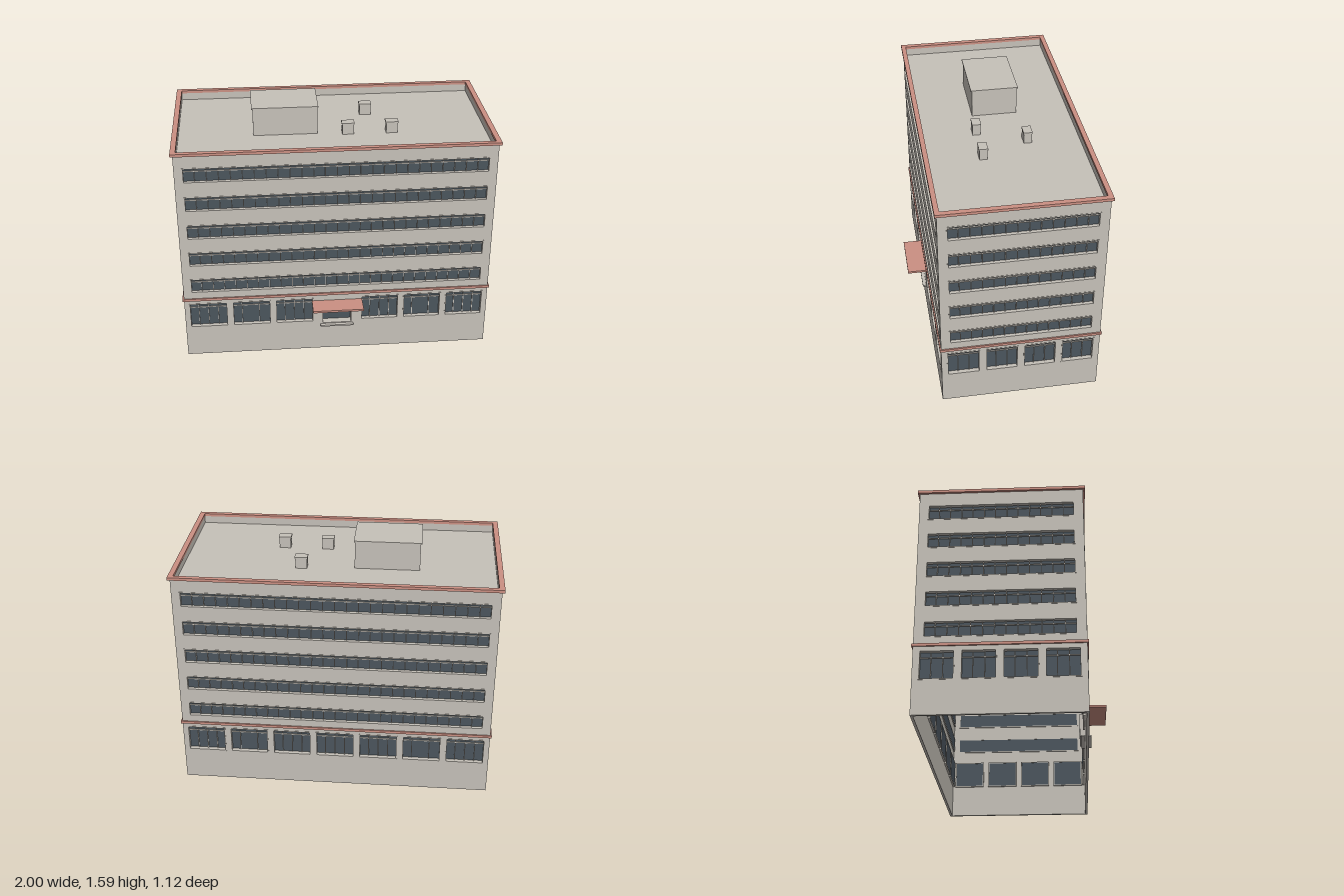
import * as THREE from 'three';
import { mergeGeometries } from 'three/addons/utils/BufferGeometryUtils.js';

const material = (name, color) => {
  const m = new THREE.MeshStandardMaterial({ color });
  m.name = name;
  return m;
};

const W = 0.985, D = 0.495, ZC = -0.055; // half width, half depth, centre of the block
const WALL_TOP = 1.452, T = 0.016, ROOF = 1.4;

// rectangle as a shape or hole
function rect(x0, y0, x1, y1, Type = THREE.Shape) {
  const s = new Type();
  s.moveTo(x0, y0);
  s.lineTo(x1, y0);
  s.lineTo(x1, y1);
  s.lineTo(x0, y1);
  s.closePath();
  return s;
}

// box given by its two extreme corners
function boxGeo(x0, y0, z0, x1, y1, z1) {
  return new THREE.BoxGeometry(x1 - x0, y1 - y0, z1 - z0)
    .translate((x0 + x1) / 2, (y0 + y1) / 2, (z0 + z1) / 2);
}

// rectangular frame of given border, extruded from z0 to z1
function frameGeo(o, border, z0, z1) {
  const s = rect(o.x0, o.y0, o.x1, o.y1);
  s.holes.push(rect(o.x0 + border, o.y0 + border, o.x1 - border, o.y1 - border, THREE.Path));
  return new THREE.ExtrudeGeometry(s, { depth: z1 - z0, bevelEnabled: false }).translate(0, 0, z0);
}

export function createModel() {
  const wallMat = material('wall', 0xc6c1b9);
  const glassMat = material('glass', 0x4b555d);
  const trimMat = material('red trim', 0xcb9083);
  const model = new THREE.Group();
  model.name = 'officeBuilding';

  const add = (parent, name, geo, mat) => {
    const mesh = new THREE.Mesh(geo, mat);
    mesh.name = name;
    parent.add(mesh);
    return mesh;
  };

  // one facade: pierced wall, reveals, glass and glazing bars; outer face at local z = 0
  function facade(name, wallHalf, openings) {
    const g = new THREE.Group();
    g.name = name;
    const shape = rect(-wallHalf, 0, wallHalf, WALL_TOP);
    const frames = [], panes = [], bars = [];
    for (const o of openings) {
      shape.holes.push(rect(o.x0, o.y0, o.x1, o.y1, THREE.Path));
      const back = -o.depth;
      frames.push(frameGeo(o, 0.007, back - 0.004, 0.002));
      panes.push(boxGeo(o.x0 + 0.004, o.y0 + 0.004, back - 0.003, o.x1 - 0.004, o.y1 - 0.004, back));
      const w = o.x1 - o.x0, t = 0.0025;
      for (const f of o.splits) {
        const x = o.x0 + w * f;
        bars.push(boxGeo(x - t, o.y0 + 0.005, back - 0.001, x + t, o.y1 - 0.005, back + 0.008));
      }
      if (o.transom) {
        const y = o.y0 + (o.y1 - o.y0) * o.transom;
        bars.push(boxGeo(o.x0 + 0.005, y - t, back - 0.001, o.x1 - 0.005, y + t, back + 0.007));
      }
    }
    const wall = new THREE.ExtrudeGeometry(shape, { depth: T, bevelEnabled: false }).translate(0, 0, -T);
    add(g, 'wall', wall, wallMat);
    add(g, 'windowFrames', mergeGeometries(frames), wallMat);
    add(g, 'windowGlass', mergeGeometries(panes), glassMat);
    add(g, 'glazingBars', mergeGeometries(bars), wallMat);
    model.add(g);
    return g;
  }

  const even = n => Array.from({ length: n - 1 }, (_, i) => (i + 1) / n);

  // five ribbon windows above one another
  const ribbons = (half, panes) => Array.from({ length: 5 }, (_, i) => ({
    x0: -half, x1: half, y0: 0.477 + 0.1965 * i, y1: 0.58 + 0.1965 * i,
    depth: 0.02, splits: even(panes), transom: 0.72,
  }));

  // row of ground floor windows
  const groundRow = (count, pitch, width, splitsFor) => Array.from({ length: count }, (_, i) => {
    const c = (i - (count - 1) / 2) * pitch;
    return {
      x0: c - width / 2, x1: c + width / 2, y0: 0.212, y1: 0.395,
      depth: 0.025, splits: splitsFor(i), transom: 0.78,
    };
  });
  const longSplits = i => (i % 4 === 1 ? [0.25, 0.7] : even(4));

  const longRow = groundRow(7, 0.2775, 0.247, longSplits);
  const door = { x0: -0.1, x1: 0.097, y0: 0.193, y1: 0.342, depth: 0.045, splits: [], transom: 0 };
  const frontRow = longRow.map((o, i) => (i === 3 ? door : o));
  const longRibbons = ribbons(0.937, 26);
  const sideOpenings = [...ribbons(0.442, 13), ...groundRow(4, 0.2385, 0.205, () => even(3))];

  facade('frontFacade', W, [...longRibbons, ...frontRow]).position.z = ZC + D;
  const back = facade('backFacade', W, [...longRibbons, ...longRow]);
  back.position.z = ZC - D;
  back.rotation.y = Math.PI;
  for (const s of [1, -1]) {
    const side = facade(s > 0 ? 'leftFacade' : 'rightFacade', D - T, sideOpenings);
    side.position.set(s * W, 0, ZC);
    side.rotation.y = s * Math.PI / 2;
  }

  // red rings around the block
  function ring(name, outX, outZ, inX, inZ, y0, y1) {
    const s = rect(-outX, -outZ, outX, outZ);
    s.holes.push(rect(-inX, -inZ, inX, inZ, THREE.Path));
    const geo = new THREE.ExtrudeGeometry(s, { depth: y1 - y0, bevelEnabled: false })
      .rotateX(-Math.PI / 2).translate(0, y0, ZC);
    add(model, name, geo, trimMat);
  }
  ring('parapetCoping', 1, D + 0.012, W - 0.018, D - 0.018, 1.447, 1.465);
  ring('stringCourse', 0.994, D + 0.008, W - 0.01, D - 0.01, 0.418, 0.435);

  // roof deck, stair house and vents
  add(model, 'roofDeck', boxGeo(-W + 0.01, ROOF - 0.01, ZC - D + 0.01, W - 0.01, ROOF, ZC + D - 0.01), wallMat);
  add(model, 'stairHouse', boxGeo(-0.5, ROOF, -0.203, -0.096, 1.579, 0.083), wallMat);
  add(model, 'stairHouseCap', boxGeo(-0.508, 1.578, -0.21, -0.09, 1.586, 0.09), wallMat);
  for (const [x, z] of [[0.095, 0.087], [0.234, -0.209], [0.372, 0.087]]) {
    add(model, 'roofVent', boxGeo(x - 0.036, ROOF, z - 0.025, x + 0.036, 1.468, z + 0.025), wallMat);
    add(model, 'roofVentCap', boxGeo(x - 0.04, 1.467, z - 0.028, x + 0.04, 1.476, z + 0.028), wallMat);
  }

  // entrance
  add(model, 'entranceCanopy', boxGeo(-0.165, 0.361, 0.43, 0.16, 0.375, 0.563), trimMat);
  add(model, 'entranceStep', boxGeo(-0.11, 0.184, 0.4, 0.104, 0.194, 0.464), wallMat);

  return model;
}
